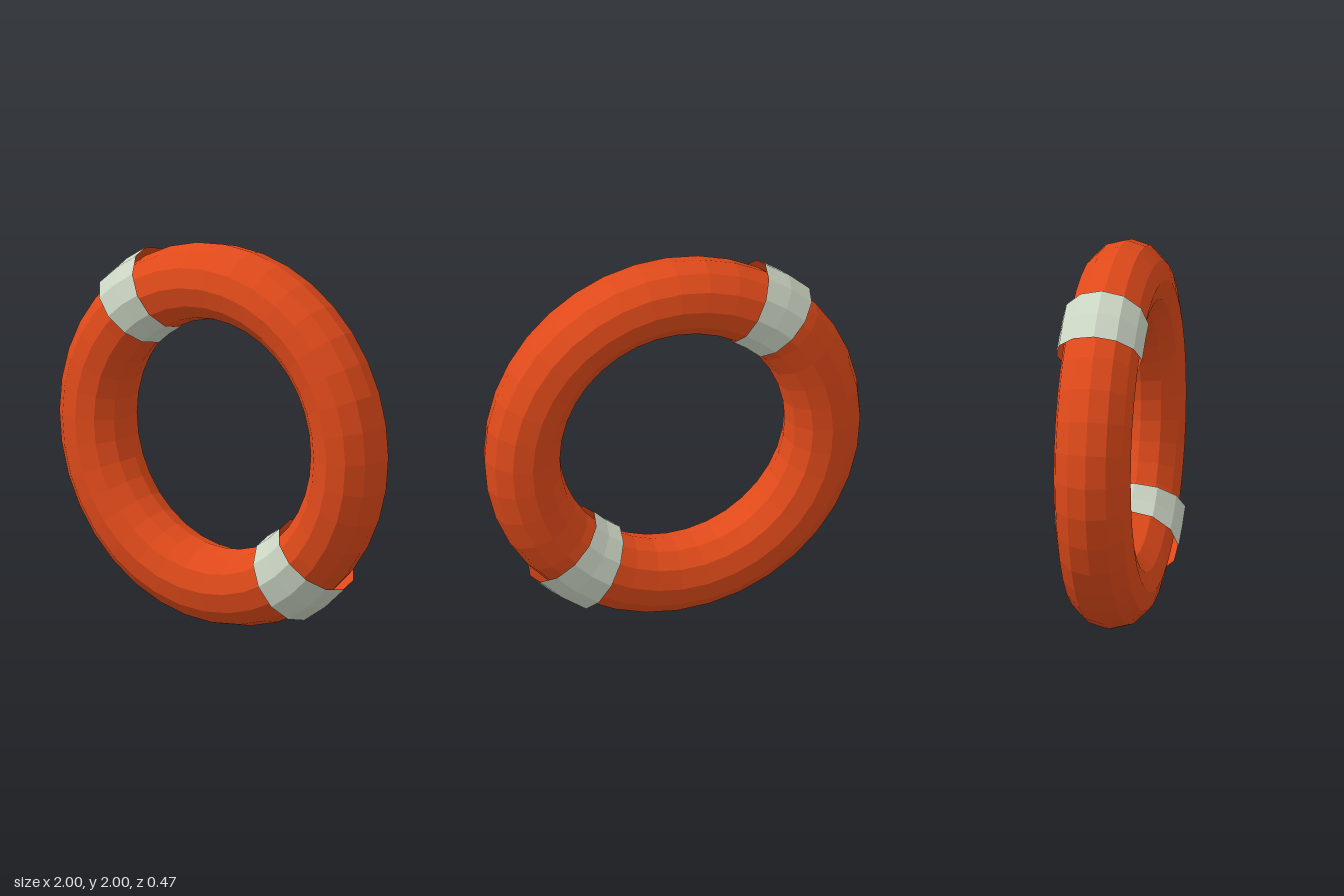
import * as THREE from 'three';

const SIDES = 12;
const orange = new THREE.MeshStandardMaterial({ color: 0xe04a1a, flatShading: true });
const lining = new THREE.MeshStandardMaterial({ color: 0xe04a1a, flatShading: true, side: THREE.DoubleSide });
const pale = new THREE.MeshStandardMaterial({ color: 0xccd6c4, flatShading: true });

// Open sleeve wrapped round the ring between two angles (degrees)
function createBand(name, ringRadius, tubeRadius, from, to, z) {
  const band = new THREE.Group();
  band.name = name;
  const arc = THREE.MathUtils.degToRad(to - from);
  const outer = new THREE.Mesh(new THREE.TorusGeometry(ringRadius, tubeRadius, SIDES, 2, arc), pale);
  outer.name = name + 'Outside';
  // orange inner face, seen at the open ends
  const inner = new THREE.Mesh(new THREE.TorusGeometry(ringRadius, tubeRadius - 0.003, SIDES, 2, arc), lining);
  inner.name = name + 'Lining';
  band.add(outer, inner);
  band.rotation.z = THREE.MathUtils.degToRad(from);
  band.position.set(0, 1, z);
  return band;
}

export function createModel() {
  const model = new THREE.Group();
  model.name = 'lifebuoy';

  // Float ring
  const ring = new THREE.Mesh(new THREE.TorusGeometry(0.8, 0.2, SIDES, 36), orange);
  ring.name = 'ring';
  ring.position.y = 1;
  model.add(ring);

  // Two bands on opposite sides, the lower one slightly looser
  model.add(
    createBand('upperBand', 0.815, 0.224, 118.6, 134.8, -0.004),
    createBand('lowerBand', 0.803, 0.236, -60.7, -43, -0.002),
  );
  return model;
}
